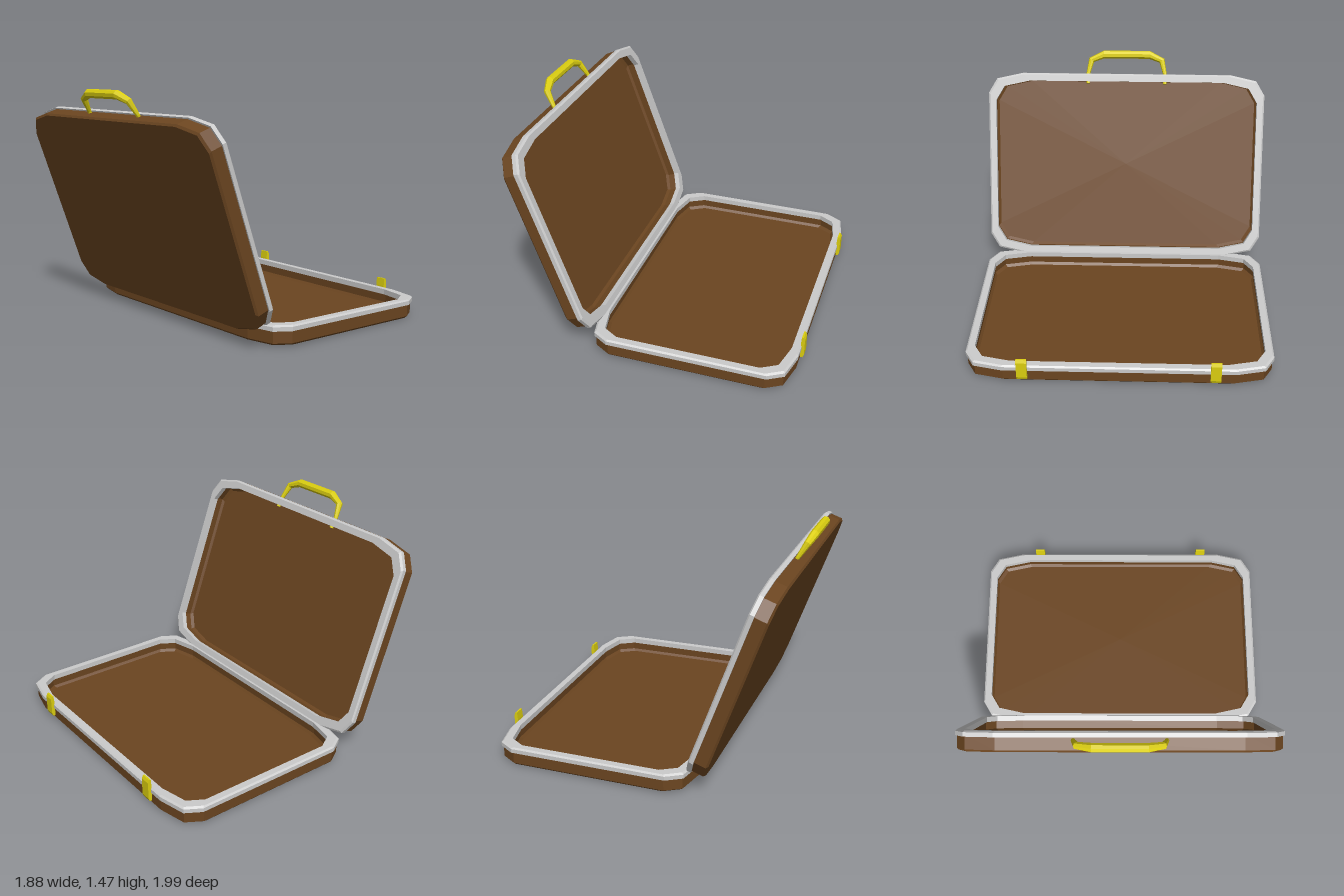
import * as THREE from 'three';

const brown = new THREE.MeshStandardMaterial({ color: 0x6b4520 });
const yellow = new THREE.MeshStandardMaterial({ color: 0xdccf10 });
const grey = new THREE.MeshStandardMaterial({ color: 0xcccccc });

const HX = 0.65, HZ = 0.97; // half size of one case half at its rim

function mesh(name, geometry, material) {
  const m = new THREE.Mesh(geometry, material);
  m.name = name;
  return m;
}

// Flat-shaded skin over a row of equal-length closed rings
function skin(rings) {
  const pos = [];
  const put = (...pts) => pts.forEach((p) => pos.push(p.x, p.y, p.z));
  for (let i = 0; i < rings.length - 1; i++) {
    const n = rings[i].length;
    for (let j = 0; j < n; j++) {
      const k = (j + 1) % n;
      const a = rings[i][j], b = rings[i][k], c = rings[i + 1][k], d = rings[i + 1][j];
      put(a, d, c, a, c, b);
    }
  }
  const g = new THREE.BufferGeometry();
  g.setAttribute('position', new THREE.Float32BufferAttribute(pos, 3));
  g.computeVertexNormals();
  return g;
}

// Rectangle with three-point corners, pulled in by inset at height y
function outline(inset, y) {
  const hx = HX - inset, hz = HZ - inset;
  const corner = [[hx, hz - 0.24], [hx - 0.04, hz - 0.06], [hx - 0.14, hz]];
  const flipped = [...corner].reverse();
  return [
    ...corner,
    ...flipped.map(([x, z]) => [-x, z]),
    ...corner.map(([x, z]) => [-x, -z]),
    ...flipped.map(([x, z]) => [x, -z]),
  ].map(([x, z]) => new THREE.Vector3(x, y, z));
}

const centre = (y) => Array.from({ length: 12 }, () => new THREE.Vector3(0, y, 0));

// One open half: leather tray with a metal rim
function caseHalf(name) {
  const g = new THREE.Group();
  g.name = name;
  const tray = [[0.02, 0], [0.009, 0.012], [0.009, 0.1], [0.045, 0.1], [0.045, 0.035], [0.06, 0.02]];
  g.add(mesh('tray', skin([centre(0), ...tray.map((p) => outline(...p)), centre(0.02)]), brown));
  const rim = [[0, 0.087], [0, 0.113], [0.01, 0.122], [0.052, 0.122], [0.052, 0.087], [0, 0.087]];
  g.add(mesh('rim', skin(rim.map((p) => outline(...p))), grey));
  return g;
}

// Tapered carrying handle spanning z and rising along y
function handleGeometry() {
  const half = [[-0.27, -0.05, 0.013], [-0.27, 0.02, 0.013], [-0.248, 0.115, 0.022], [-0.16, 0.155, 0.028]];
  const path = [...half, ...[...half].reverse().map(([z, y, r]) => [-z, y, r])];
  const b = new THREE.Vector3(1, 0, 0);
  const rings = path.map(([z, y], i) => {
    const p0 = path[Math.max(i - 1, 0)], p1 = path[Math.min(i + 1, path.length - 1)];
    const n = new THREE.Vector3(0, p1[1] - p0[1], p1[0] - p0[0]).normalize().cross(b);
    return Array.from({ length: 8 }, (_, k) => {
      const t = (k / 8) * Math.PI * 2;
      return new THREE.Vector3(0, y, z)
        .addScaledVector(n, path[i][2] * Math.cos(t))
        .addScaledVector(b, path[i][2] * Math.sin(t));
    });
  });
  const cap = ([z, y]) => Array.from({ length: 8 }, () => new THREE.Vector3(0, y, z));
  return skin([cap(path[0]), ...rings, cap(path[path.length - 1])]);
}

// Bent latch plate, profile in x and y
function latchGeometry() {
  const profile = [[0, 0.03], [0.016, 0.03], [0.024, 0.05], [0.024, 0.16], [0.015, 0.18], [0.004, 0.18], [0, 0.13]];
  const shape = new THREE.Shape(profile.map(([x, y]) => new THREE.Vector2(x, y)));
  return new THREE.ExtrudeGeometry(shape, { depth: 0.066, bevelEnabled: false }).translate(HX - 0.006, 0, -0.033);
}

export function createModel() {
  const model = new THREE.Group();
  model.name = 'openBriefcase';
  const body = new THREE.Group();
  body.name = 'briefcase';
  body.rotation.y = -0.031; // stands slightly askew
  model.add(body);

  // Lower half lying flat, with two latches on its free edge
  const base = caseHalf('base');
  base.position.set(0.25, 0.006, 0);
  base.rotation.z = -0.009;
  for (const z of [-0.6, 0.6]) {
    const latch = mesh('latch', latchGeometry(), yellow);
    latch.position.z = z;
    base.add(latch);
  }
  body.add(base);

  // Upper half swung open around the hinge edge
  const hinge = new THREE.Group();
  hinge.name = 'hingedLid';
  hinge.position.set(-0.358, 0.122, 0);
  hinge.rotation.z = -1.231;
  const lid = caseHalf('lid');
  lid.position.set(-HX, -0.122, 0);
  hinge.add(lid);

  // Handle on the lid's free edge
  const handle = mesh('handle', handleGeometry(), yellow);
  handle.position.set(-1.28, -0.05, 0);
  handle.rotation.z = 1.76;
  hinge.add(handle);
  body.add(hinge);

  return model;
}
